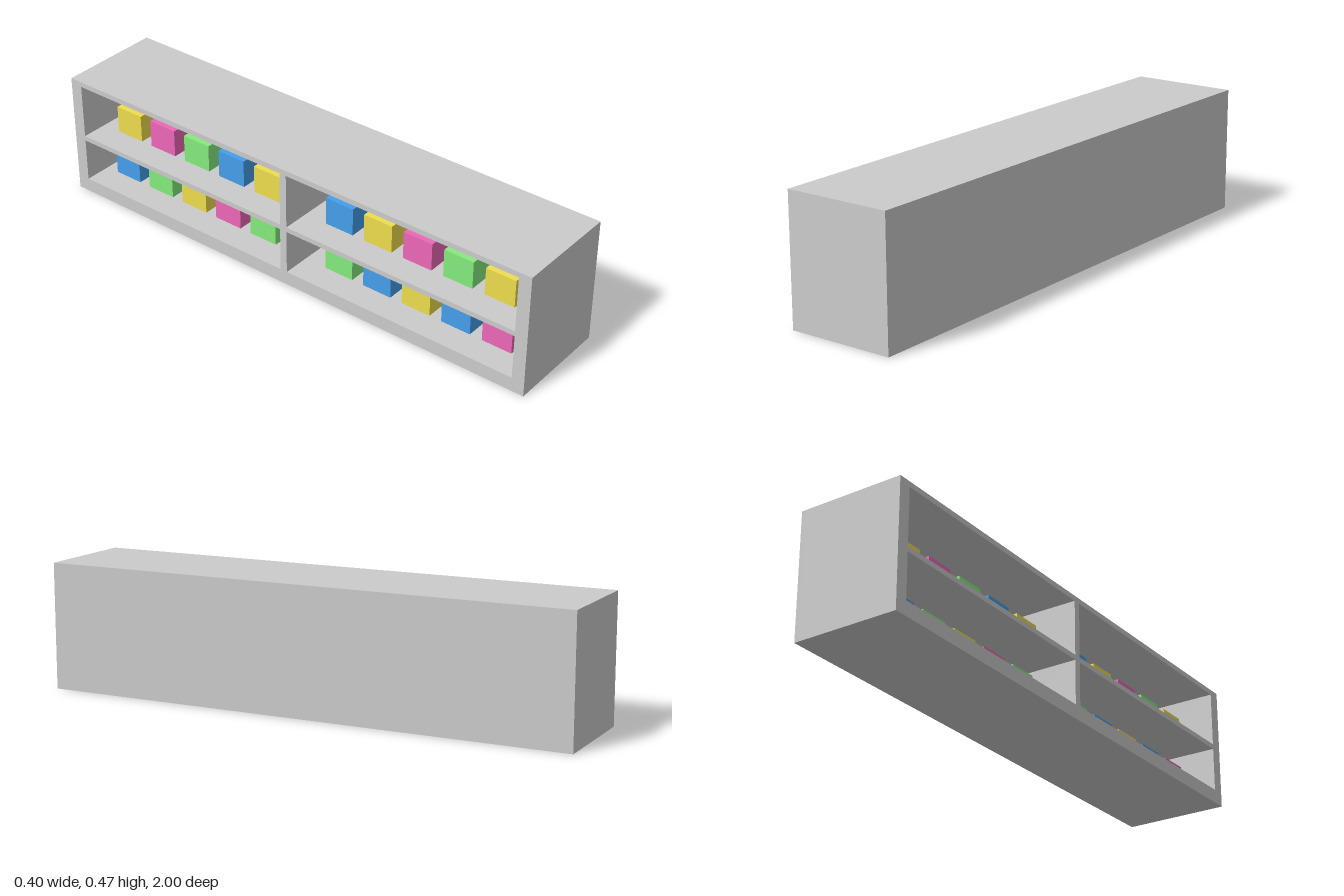
import * as THREE from 'three';

const HALF_X = 0.2, HEIGHT = 0.469, BACK = 0.02;

// Compartments, open towards -x; boxes are listed from -z to +z
const BAYS = [[-0.952, -0.014], [0.014, 0.952]];
const ROWS = [[0.053, 0.221], [0.24, 0.449]];
const COLORS = { yellow: 0xeedd4d, blue: 0x459feb, green: 0x85eb7e, pink: 0xed67b7 };
const CONTENTS = [
  { row: 0, start: -0.9, height: 0.092, colors: ['blue', 'green', 'yellow', 'pink', 'green'] },
  { row: 0, start: 0.104, height: 0.092, colors: ['green', 'blue', 'yellow', 'blue', 'pink'] },
  { row: 1, start: -0.878, height: 0.105, colors: ['yellow', 'pink', 'green', 'blue', 'yellow'] },
  { row: 1, start: 0.104, height: 0.105, colors: ['blue', 'yellow', 'pink', 'green', 'yellow'] },
];
const BOX_WIDTH = 0.117, BOX_PITCH = 0.165, BOX_DEPTH = 0.17, BOX_FRONT = -0.096;

function rectangle(path, x0, y0, x1, y1) {
  path.moveTo(x0, y0).lineTo(x1, y0).lineTo(x1, y1).lineTo(x0, y1).closePath();
  return path;
}

export function createModel() {
  const model = new THREE.Group();
  const grey = new THREE.MeshStandardMaterial({ color: 0xcccccc });
  const add = (parent, name, geometry, material, x = 0, y = 0, z = 0) => {
    const mesh = new THREE.Mesh(geometry, material);
    mesh.name = name;
    mesh.position.set(x, y, z);
    parent.add(mesh);
  };

  // Frame with four openings: side profile extruded towards -x
  const profile = rectangle(new THREE.Shape(), -1, 0, 1, HEIGHT);
  for (const [z0, z1] of BAYS)
    for (const [y0, y1] of ROWS)
      profile.holes.push(rectangle(new THREE.Path(), z0, y0, z1, y1));
  const frame = new THREE.ExtrudeGeometry(profile, { depth: 2 * HALF_X - BACK, bevelEnabled: false });
  frame.rotateY(-Math.PI / 2);
  add(model, 'shelfFrame', frame, grey, HALF_X - BACK);

  // Closed rear panel
  add(model, 'backPanel', new THREE.BoxGeometry(BACK, HEIGHT, 2), grey, HALF_X - BACK / 2, HEIGHT / 2);

  // Coloured boxes standing on the shelves
  const materials = {};
  for (const key in COLORS) materials[key] = new THREE.MeshStandardMaterial({ color: COLORS[key] });
  const goods = new THREE.Group();
  goods.name = 'storedBoxes';
  model.add(goods);
  for (const { row, start, height, colors } of CONTENTS) {
    const geometry = new THREE.BoxGeometry(BOX_DEPTH, height, BOX_WIDTH);
    colors.forEach((color, i) => add(goods, `${color}Box`, geometry, materials[color],
      BOX_FRONT + BOX_DEPTH / 2, ROWS[row][0] + height / 2, start + i * BOX_PITCH + BOX_WIDTH / 2));
  }

  return model;
}
